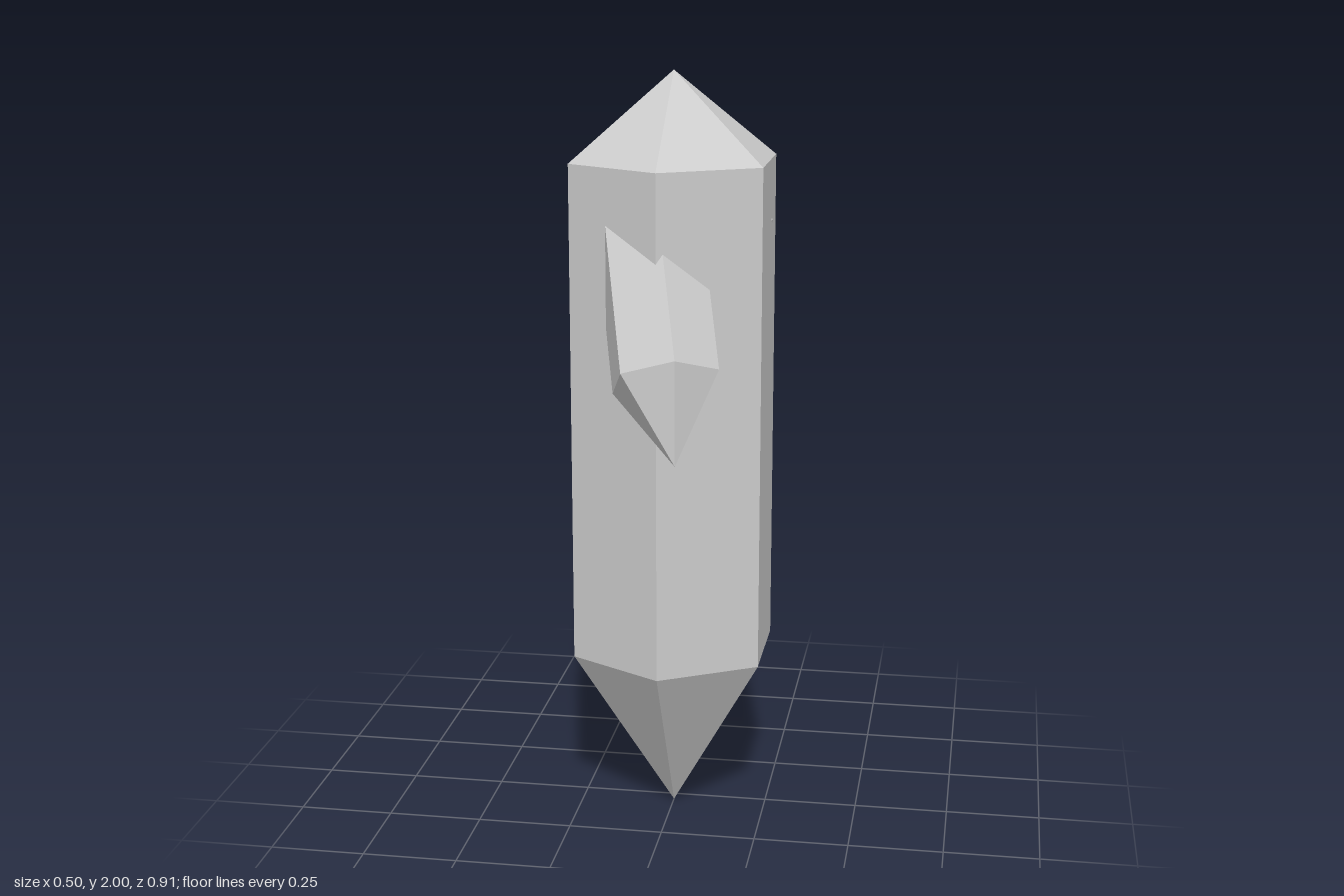
import * as THREE from 'three';

const crystalGrey = new THREE.MeshStandardMaterial({ color: 0xcccccc, flatShading: true });
crystalGrey.name = 'crystalGrey';

// Six-sided double-pointed crystal; its lower body ring is centred on the origin.
function crystal(name, radius, lowerTip, body, upperTip) {
  const profile = [
    [0, -lowerTip], [radius, 0], [radius, body], [0, body + upperTip],
  ].map(([r, y]) => new THREE.Vector2(r, y));
  const mesh = new THREE.Mesh(new THREE.LatheGeometry(profile, 6), crystalGrey);
  mesh.name = name;
  return mesh;
}

// Lean a crystal so its lower tip points outward along the given heading.
function lean(mesh, heading, tilt) {
  mesh.rotation.set(-tilt, heading, 0, 'YXZ');
  return mesh;
}

export function createModel() {
  const model = new THREE.Group();
  model.name = 'crystalCluster';

  // Large upright crystal
  const main = crystal('mainCrystal', 0.285, 0.46, 1.315, 0.225);
  main.position.set(0, 0.46, 0.035);

  // Medium crystal growing out of the back
  const back = lean(crystal('backCrystal', 0.17, 0.267, 0.73, 0.13), Math.PI * 7 / 6, 0.5);
  back.position.set(-0.09, 1.016, -0.316);

  // Small crystal growing out of the front
  const front = lean(crystal('frontCrystal', 0.142, 0.222, 0.607, 0.108), 0.35, 0.58);
  front.position.set(0.028, 1.263, 0.343);

  model.add(main, back, front);
  return model;
}
